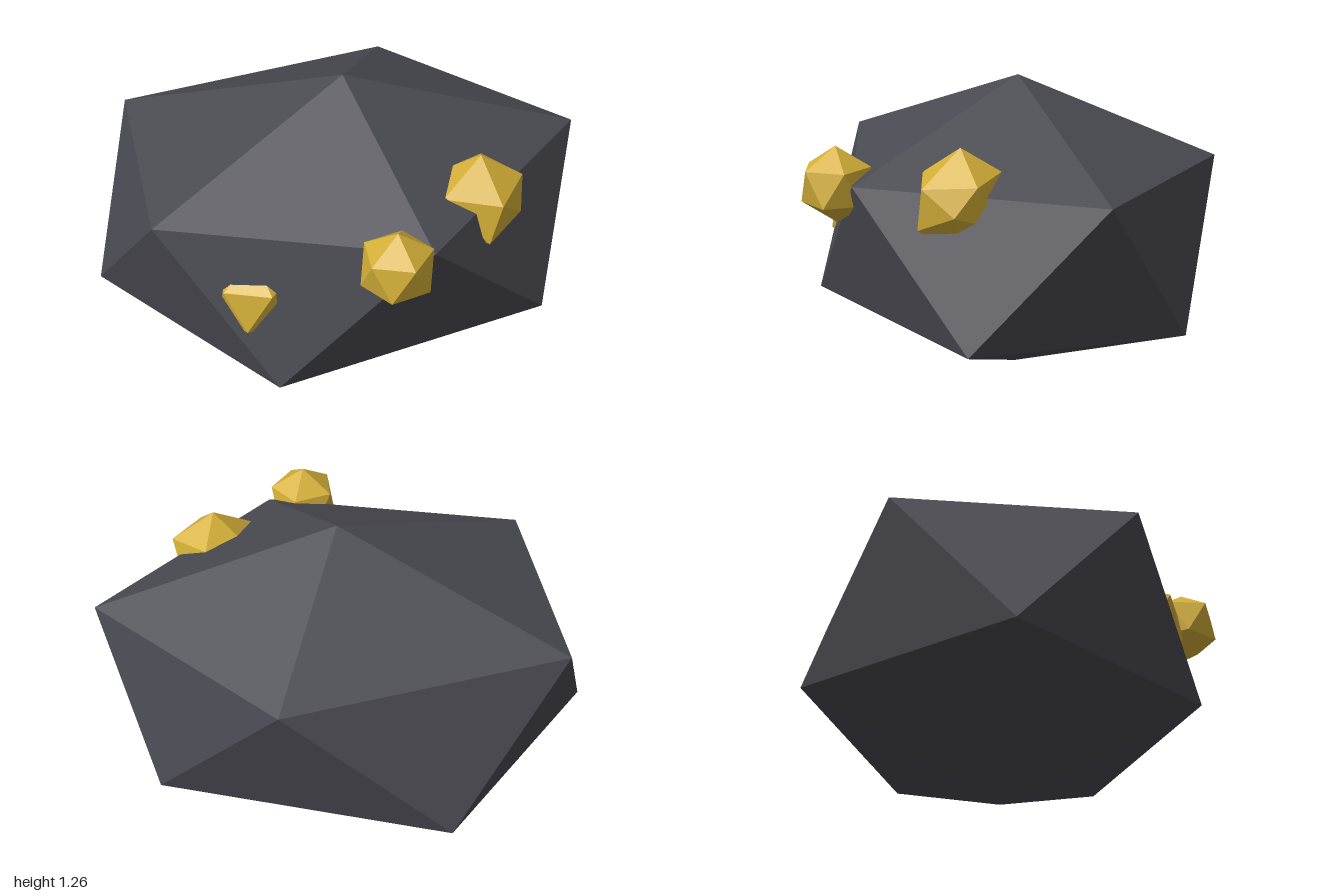
import * as THREE from 'three';

const stone = new THREE.MeshStandardMaterial({ color: 0x4a4a52 });
const gold = new THREE.MeshStandardMaterial({ color: 0xd4af37 });
stone.name = 'dark stone';
gold.name = 'gold';

// Twenty-sided lump: a top point, two staggered rings of five, a bottom point
function lump(name, material, top, upper, lower, bottom) {
  const points = [];
  for (let i = 0; i < 5; i++) {
    const j = (i + 1) % 5;
    points.push(top, upper[j], upper[i]);
    points.push(upper[i], upper[j], lower[i]);
    points.push(lower[i], upper[j], lower[j]);
    points.push(lower[i], lower[j], bottom);
  }
  const geometry = new THREE.BufferGeometry();
  geometry.setAttribute('position', new THREE.Float32BufferAttribute(points.flat(), 3));
  geometry.computeVertexNormals(); // unshared corners keep every facet flat
  const mesh = new THREE.Mesh(geometry, material);
  mesh.name = name;
  return mesh;
}

// Regular nugget with its centre and radius
function nugget(name, [x, y, z], r) {
  const ring = (height, turn) => Array.from({ length: 5 }, (_, i) => {
    const a = (i + turn) * Math.PI * 0.4;
    return [x + 0.894 * r * Math.cos(a), y + height * r, z + 0.894 * r * Math.sin(a)];
  });
  return lump(name, gold, [x, y + r, z], ring(0.447, 0), ring(-0.447, 0.5), [x, y - r, z]);
}

export function createModel() {
  const group = new THREE.Group();
  group.name = 'goldOre';

  // Uneven boulder
  group.add(lump('rock', stone,
    [0.03, 1.26, -0.055],
    [[1, 0.94, -0.07], [0.26, 0.907, 0.705], [-0.78, 0.93, 0.41], [-0.83, 0.925, -0.545], [0.315, 0.93, -0.81]],
    [[0.79, 0.355, 0.41], [-0.34, 0.325, 0.705], [-1, 0.355, -0.075], [-0.345, 0.345, -0.865], [0.78, 0.34, -0.48]],
    [-0.035, 0, -0.07]));

  // Nuggets set into the front
  group.add(nugget('buriedNugget', [-0.4, 0.63, 0.47], 0.18));
  group.add(nugget('middleNugget', [0.11, 0.885, 0.73], 0.155));

  // Larger, uneven nugget on the left shoulder
  group.add(lump('largeNugget', gold,
    [0.51, 1.09, 0.345],
    [[0.685, 0.975, 0.335], [0.565, 0.955, 0.515], [0.345, 0.967, 0.445], [0.4, 0.995, 0.27], [0.55, 0.995, 0.195]],
    [[0.665, 0.86, 0.42], [0.52, 0.785, 0.52], [0.36, 0.8, 0.36], [0.45, 0.8, 0.2], [0.64, 0.8, 0.24]],
    [0.54, 0.68, 0.35]));

  return group;
}
